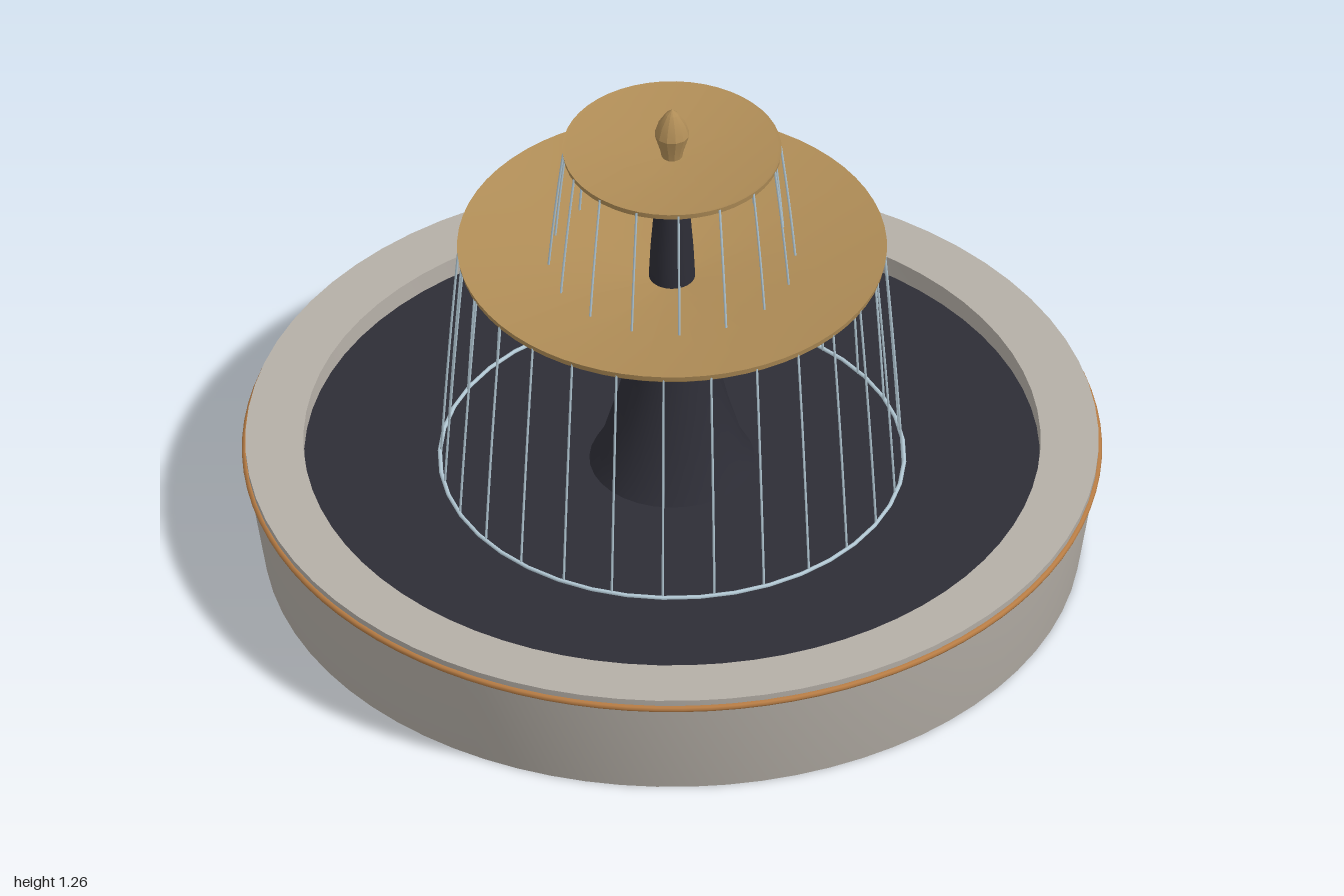
import * as THREE from 'three';
import { toCreasedNormals } from 'three/addons/utils/BufferGeometryUtils.js';

const mat = (name, color, side = THREE.FrontSide) => {
  const m = new THREE.MeshStandardMaterial({ color, side });
  m.name = name;
  return m;
};

export function createModel() {
  const root = new THREE.Group();
  root.name = 'fountain';
  const stone = mat('pale stone', 0xb5afa7);
  const dark = mat('dark stone', 0x2d2d36);
  const bronze = mat('bronze', 0xb08d57);
  const copper = mat('copper', 0xb87d45);
  const water = mat('falling water', 0xb4cad6);

  const add = (name, geometry, material, parent = root) => {
    const mesh = new THREE.Mesh(geometry, material);
    mesh.name = name;
    parent.add(mesh);
    return mesh;
  };
  // Turned part from [radius, height] pairs, listed from the bottom outwards and up
  const turned = (name, profile, segments, material) => {
    const pts = profile.map(([r, y]) => new THREE.Vector2(r, y));
    return add(name, toCreasedNormals(new THREE.LatheGeometry(pts, segments), 0.45), material);
  };

  // Basin with a broad flat rim
  turned('basin', [[0, 0], [0.95, 0], [0.99, 0.25], [0.992, 0.285], [0.857, 0.285], [0.855, 0.22]], 72, stone);

  // Thin band below the rim
  const band = add('rimBand', new THREE.TorusGeometry(0.992, 0.008, 8, 96), copper);
  band.rotation.x = Math.PI / 2;
  band.position.y = 0.262;

  // Still pool surface
  const pool = add('pool', new THREE.CircleGeometry(0.857, 72), dark);
  pool.rotation.x = -Math.PI / 2;
  pool.position.y = 0.235;

  // Flared pedestal and the slimmer upper column
  turned('pedestal', [[0.195, 0.23], [0.165, 0.285], [0.132, 0.4], [0.103, 0.52], [0.092, 0.63], [0.084, 0.74]], 32, dark);
  turned('upperColumn', [[0.055, 0.75], [0.05, 0.855], [0.042, 0.96], [0.04, 1.06]], 24, dark);

  // Two shallow dished bowls
  turned('lowerBowl', [[0, 0.725], [0.08, 0.727], [0.475, 0.822], [0.497, 0.84], [0.5, 0.855],
    [0.49, 0.853], [0.05, 0.77], [0, 0.768]], 64, bronze);
  turned('upperBowl', [[0, 1.045], [0.045, 1.047], [0.235, 1.115], [0.253, 1.128], [0.255, 1.142],
    [0.247, 1.14], [0.03, 1.122], [0, 1.122]], 48, bronze);

  // Bud finial
  turned('finial', [[0.024, 1.118], [0.028, 1.14], [0.041, 1.185], [0.032, 1.215], [0.015, 1.243], [0, 1.256]], 12, bronze);

  // Rings of thin water jets spilling from each bowl
  const jets = (name, count, offset, r0, y0, r1, y1) => {
    const group = new THREE.Group();
    group.name = name;
    root.add(group);
    const path = new THREE.QuadraticBezierCurve3(
      new THREE.Vector3(r0, y0, 0),
      new THREE.Vector3(r0 + (r1 - r0) * 0.6, (y0 + y1) / 2, 0),
      new THREE.Vector3(r1, y1, 0));
    const geometry = new THREE.TubeGeometry(path, 8, 0.003, 5);
    for (let i = 0; i < count; i++) {
      add('jet', geometry, water, group).rotation.y = offset + (i / count) * Math.PI * 2;
    }
  };
  jets('lowerJets', 28, Math.PI / 28, 0.495, 0.85, 0.537, 0.235);
  jets('upperJets', 16, 0.1, 0.253, 1.138, 0.287, 0.815);

  // Ripple where the jets meet the pool
  const ripple = add('ripple', new THREE.TorusGeometry(0.54, 0.005, 6, 40), water);
  ripple.rotation.x = Math.PI / 2;
  ripple.position.y = 0.238;

  return root;
}
